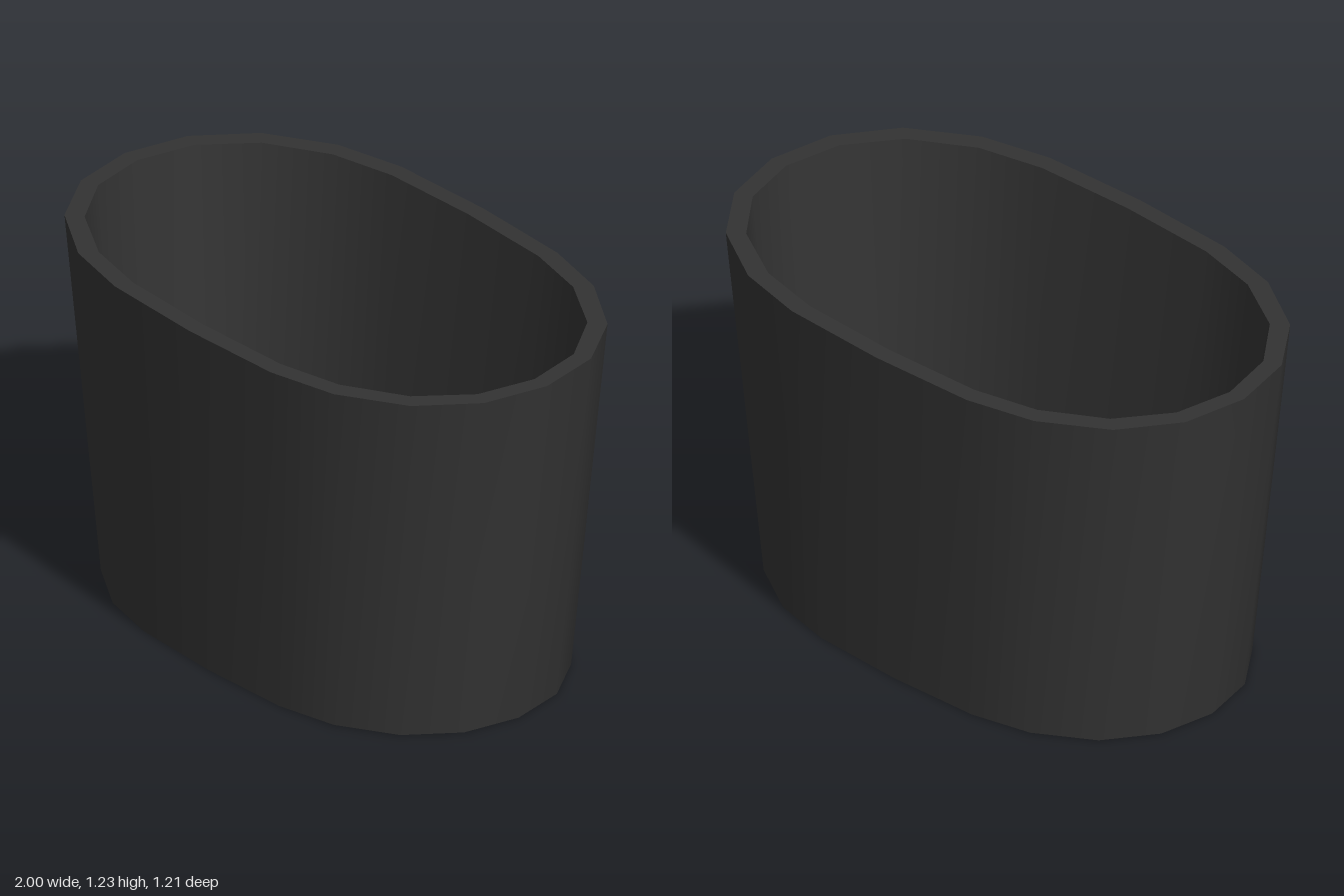
import * as THREE from 'three';

// One quarter of the oval outline at the rim, from the side (+x) to the front (+z)
const QUARTER = [[1, 0], [0.955, 0.22], [0.82, 0.405], [0.605, 0.535], [0.37, 0.59], [0, 0.605]];

// Mirror the quarter into the full 20-sided outline
const half = [...QUARTER, ...QUARTER.slice(0, -1).reverse().map(([x, z]) => [-x, z])];
const OUTLINE = [...half, ...half.slice(1, -1).reverse().map(([x, z]) => [x, -z])];

// The outline scaled to half-width w and half-depth d at height y
const ring = (w, d, y) => OUTLINE.map(([x, z]) => [x * w, y, z * d / 0.605]);

// Closed band of quads between two rings, smooth around its length
function band(a, b) {
  const n = a.length;
  const index = [];
  for (let i = 0; i < n; i++) {
    const j = (i + 1) % n;
    index.push(i, n + i, j, j, n + i, n + j);
  }
  const geometry = new THREE.BufferGeometry();
  geometry.setAttribute('position', new THREE.Float32BufferAttribute([...a, ...b].flat(), 3));
  geometry.setIndex(index);
  geometry.computeVertexNormals();
  return geometry;
}

// Flat cap filling a ring, facing up or down
function cap(points, up) {
  const shape = new THREE.Shape(points.map(([x, , z]) => new THREE.Vector2(x, z)));
  const geometry = new THREE.ShapeGeometry(shape);
  geometry.rotateX(up ? -Math.PI / 2 : Math.PI / 2);
  geometry.translate(0, points[0][1], 0);
  return geometry;
}

export function createModel() {
  const model = new THREE.Group();
  model.name = 'ovalPlanter';
  const material = new THREE.MeshStandardMaterial({ color: 0x333333 });
  const add = (name, geometry) => {
    const mesh = new THREE.Mesh(geometry, material);
    mesh.name = name;
    model.add(mesh);
  };

  const recessTop = ring(0.79, 0.47, 0.04);
  const footInner = ring(0.79, 0.47, 0);
  const footOuter = ring(0.865, 0.525, 0);
  const rimOuter = ring(1, 0.605, 1.23);
  const rimInner = ring(0.94, 0.545, 1.23);
  const floorEdge = ring(0.815, 0.475, 0.09);

  // Tapered shell with a flat rim and a flat foot
  add('outerWall', band(footOuter, rimOuter));
  add('rim', band(rimOuter, rimInner));
  add('innerWall', band(rimInner, floorEdge));
  add('floor', cap(floorEdge, true));

  // Shallow recess under the base
  add('foot', band(footInner, footOuter));
  add('recessWall', band(recessTop, footInner));
  add('underside', cap(recessTop, false));

  return model;
}
